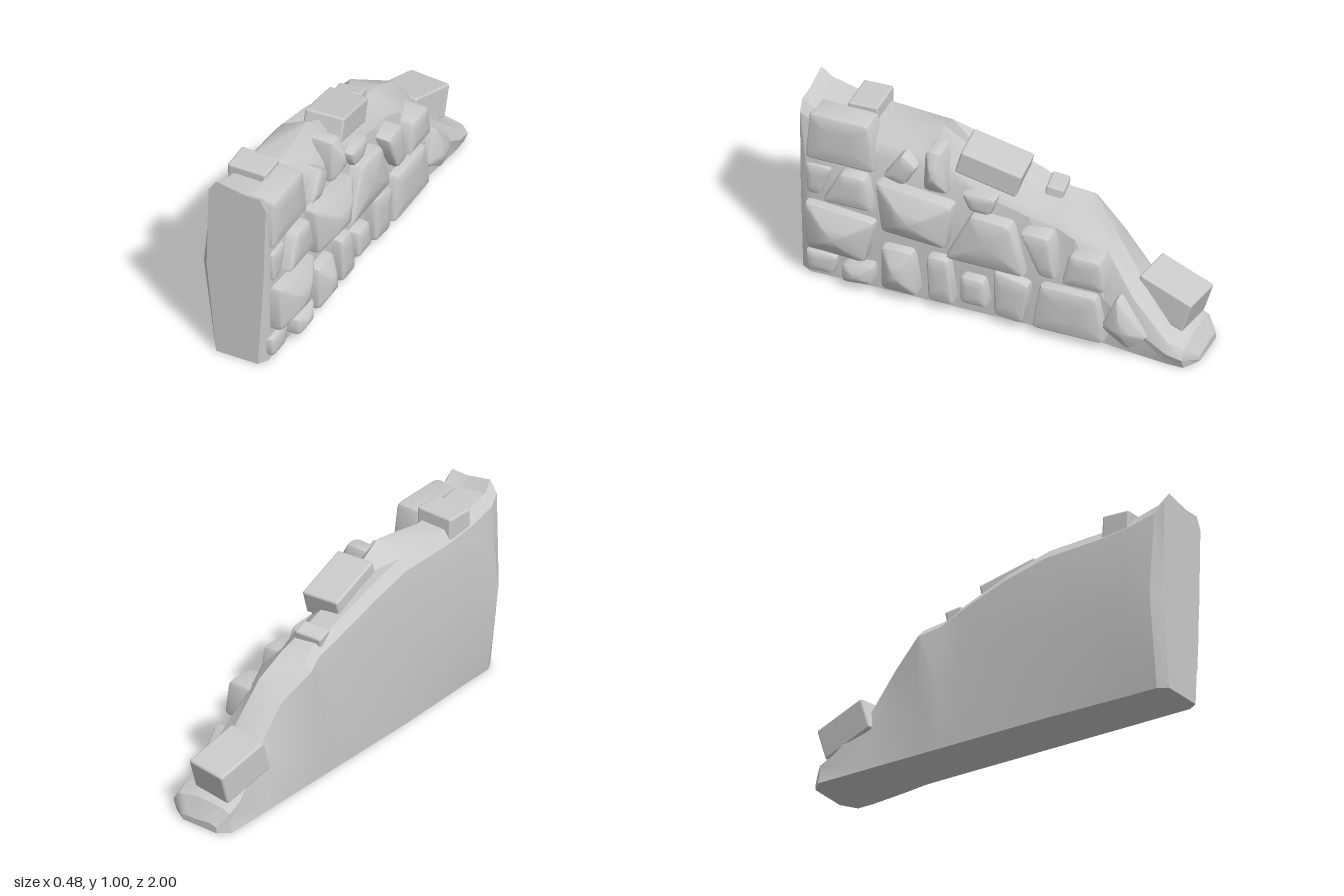
import * as THREE from 'three';
import { toCreasedNormals } from 'three/addons/utils/BufferGeometryUtils.js';
import { RoundedBoxGeometry } from 'three/addons/geometries/RoundedBoxGeometry.js';

const material = new THREE.MeshStandardMaterial({ color: 0xcccccc });
const { smoothstep } = THREE.MathUtils;

// Skin counter-clockwise rings of equal length and close both ends with a fan.
function loft(rings, crease, tip) {
  const n = rings[0].length, pos = rings.flat(2), index = [];
  for (let r = 0; r < rings.length - 1; r++) for (let i = 0; i < n; i++) {
    const a = r * n + i, b = r * n + (i + 1) % n;
    index.push(a, b, b + n, a, b + n, a + n);
  }
  const mean = (ring) => [0, 1, 2].map((k) => ring.reduce((s, p) => s + p[k], 0) / n);
  const last = (rings.length - 1) * n, c = rings.length * n;
  pos.push(...mean(rings[0]), ...(tip || mean(rings.at(-1))));
  for (let i = 0; i < n; i++) {
    const j = (i + 1) % n;
    index.push(c, j, i, c + 1, last + i, last + j);
  }
  const g = new THREE.BufferGeometry();
  g.setAttribute('position', new THREE.Float32BufferAttribute(pos, 3));
  g.setIndex(index);
  return toCreasedNormals(g, crease);
}

function add(group, name, geometry) {
  const mesh = new THREE.Mesh(geometry, material);
  mesh.name = name;
  group.add(mesh);
  return mesh;
}

// Facing stone: a trapezium with rounded corners in (z, y), domed out from x.
// Top edge runs z = a..b and falls by drop, bottom edge c..d rises by half of it.
function facingStone(x, [a, b, c, d, top, bottom, drop = 0, bulge = 0.004]) {
  const pts = [[c, bottom + drop / 2], [d, bottom], [b, top - drop], [a, top]]
    .map((p) => new THREE.Vector2(...p));
  const soft = [];
  pts.forEach((p, i) => {
    const toward = (q) => p.clone().lerp(q, Math.min(0.3, 0.025 / p.distanceTo(q)));
    const s = toward(pts[(i + 3) % 4]), e = toward(pts[(i + 1) % 4]);
    soft.push(s, s.clone().add(e).addScaledVector(p, 2).multiplyScalar(0.25), e);
  });
  const mid = pts.reduce((s, p) => s.add(p), new THREE.Vector2()).divideScalar(4);
  const ring = (px, inset, shrink = 0) => soft.map((p) => {
    const q = p.clone().lerp(mid, Math.max(shrink, Math.min(0.3, inset / p.distanceTo(mid))));
    return [px, q.y, q.x];
  });
  return loft([
    ring(0, 0), ring(x - 0.022, 0), ring(x - 0.007, 0.006), ring(x, 0.02),
    ring(x + bulge * 0.72, 0, 0.6),
  ], 0.6, [x + bulge, mid.y, mid.x]);
}

// Cross-section of the core: thicker at mid height, tucked in at both ends
function coreRing([z, left, ridge, right, xl, xr]) {
  const front = smoothstep(z, 0.95, 1), back = smoothstep(-z, 0.95, 1);
  const flare = 0.04 * smoothstep(-z, 0.5, 0.85);
  const footL = -0.195 + 0.015 * smoothstep(z, 0.3, 0.9) + 0.03 * front + 0.055 * back;
  const footR = 0.1 + flare - 0.03 * front - 0.08 * back;
  const midL = -0.2 - 0.04 * smoothstep(z, -0.2, 0.9) + 0.02 * smoothstep(-z, 0.38, 0.6)
    + 0.04 * front + 0.04 * back;
  return [
    [footL, 0], [footR, 0], [0.12 + flare - 0.02 * front - 0.09 * back, right * 0.52],
    [xr, right * 0.94], [xr - 0.03, right], [(xl + xr) / 2 + 0.03, ridge],
    [xl + 0.04, left + 0.01], [xl, left * 0.95], [midL, left * 0.5],
  ].map(([x, y]) => [x, y, z]);
}

export function createModel() {
  const wall = new THREE.Group();
  wall.name = 'ruinedWall';

  // Crumbling top: z, height at left, ridge and right, x of both shoulders
  const crest = [
    [-1, 0.03, 0.03, 0.03, -0.14, 0.06],
    [-0.95, 0.1, 0.12, 0.1, -0.18, 0.13],
    [-0.87, 0.14, 0.15, 0.13, -0.18, 0.14],
    [-0.68, 0.34, 0.38, 0.32, -0.14, 0.1],
    [-0.54, 0.52, 0.58, 0.51, -0.15, 0.05],
    [-0.38, 0.64, 0.66, 0.58, -0.2, 0.09],
    [-0.28, 0.67, 0.68, 0.61, -0.17, 0.07],
    [-0.15, 0.72, 0.72, 0.65, -0.18, 0.09],
    [0.1, 0.81, 0.8, 0.72, -0.19, 0.09],
    [0.33, 0.87, 0.94, 0.8, -0.19, 0.09],
    [0.62, 0.88, 0.89, 0.82, -0.2, 0.09],
    [0.8, 0.9, 0.91, 0.9, -0.2, 0.09],
    [0.95, 0.94, 0.93, 0.93, -0.2, 0.105],
    [1, 0.99, 0.97, 0.97, -0.19, 0.11],
  ];
  add(wall, 'wallCore', loft(crest.map(coreRing), 0.5));

  // Courses of stones set in the right-hand face, each with its own projection
  const course = (name, x, stones) => {
    const group = new THREE.Group();
    group.name = name;
    for (const s of stones) add(group, 'facingStone', facingStone(x, s));
    wall.add(group);
  };
  course('cornerStones', 0.132, [
    [0.95, 0.65, 0.97, 0.61, 0.93, 0.67],
    [0.97, 0.83, 0.96, 0.89, 0.64, 0.47],
    [0.97, 0.8, 0.96, 0.82, 0.14, 0.03],
  ]);
  course('upperCourse', 0.135, [
    [0.48, 0.4, 0.58, 0.47, 0.82, 0.64, 0.06],
    [0.36, 0.28, 0.37, 0.24, 0.88, 0.65, 0, 0.04],
    [0.18, 0, 0.14, 0.03, 0.69, 0.59],
  ]);
  course('middleCourse', 0.17, [
    [0.78, 0.65, 0.87, 0.61, 0.65, 0.47],
    [0.6, 0.21, 0.57, 0.24, 0.65, 0.36, 0.04, 0.066],
    [0.12, -0.08, 0.25, -0.16, 0.59, 0.31, 0.01, 0.015],
    [-0.13, -0.28, -0.23, -0.32, 0.57, 0.34],
    [-0.38, -0.54, -0.34, -0.57, 0.5, 0.33],
  ]);
  course('lowerCourse', 0.17, [
    [0.96, 0.6, 0.95, 0.65, 0.44, 0.17, 0.03, 0.058],
    [0.77, 0.61, 0.77, 0.61, 0.13, 0.05, -0.03, 0.02],
    [0.57, 0.41, 0.57, 0.38, 0.29, 0.05, 0, 0.045],
    [0.34, 0.23, 0.33, 0.2, 0.3, 0.05],
    [0.17, 0.05, 0.17, 0.03, 0.23, 0.08],
    [0, -0.18, 0, -0.15, 0.31, 0.04, 0.04],
    [-0.23, -0.52, -0.19, -0.56, 0.29, 0.04],
    [-0.62, -0.78, -0.54, -0.68, 0.32, 0.04, 0.19, 0.03],
  ]);

  // Loose blocks on the sloping top: centre, size, rotation
  const blocks = [
    [[-0.095, 0.895, 0.725], [0.2, 0.12, 0.15], [0.03, 0, 0]],
    [[-0.01, 0.798, 0.065], [0.2, 0.13, 0.31], [-0.27, 0.08, 0]],
    [[-0.065, 0.26, -0.81], [0.22, 0.17, 0.29], [-0.3, -0.12, 0]],
    [[-0.08, 0.68, -0.22], [0.14, 0.1, 0.09], [-0.2, 0.15, 0.1]],
  ];
  for (const [at, size, turn] of blocks) {
    const block = add(wall, 'topBlock', new RoundedBoxGeometry(...size, 2, 0.012));
    block.position.set(...at);
    block.rotation.set(...turn);
  }
  return wall;
}
